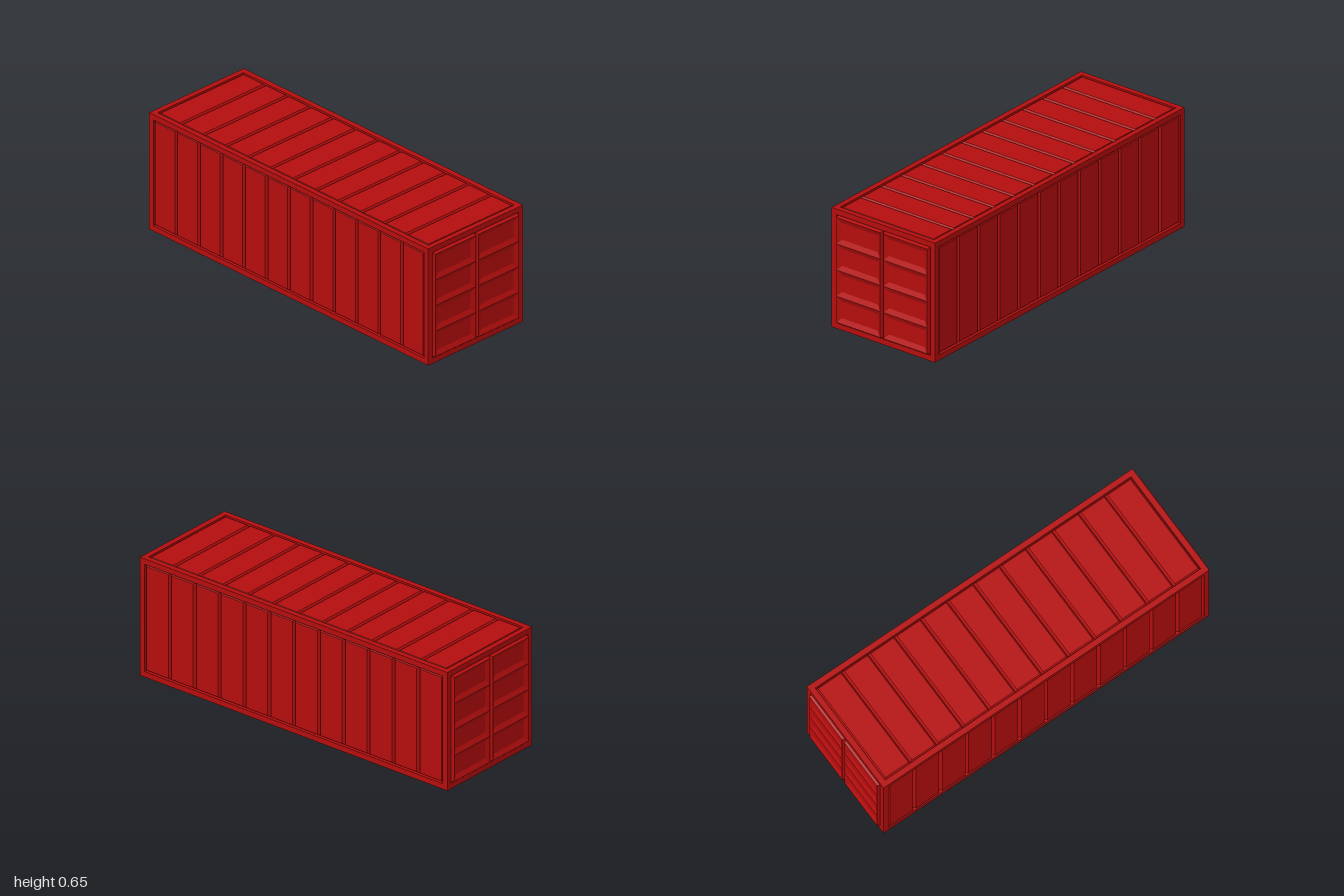
import * as THREE from 'three';

const W = 0.327, H = 0.3275, L = 0.988; // half extents of the frame
const T = 0.03;                         // beam thickness
const BEVEL = 0.01;
const PANELS = 12;

// Flat-faced stack of rectangles [width, height, z], closed by a cap on the last one
function steppedPanel(rings) {
  const pos = [];
  const corners = ([w, h, z]) => [[-w / 2, -h / 2, z], [w / 2, -h / 2, z], [w / 2, h / 2, z], [-w / 2, h / 2, z]];
  const quad = (a, b, c, d) => pos.push(...a, ...b, ...c, ...a, ...c, ...d);
  for (let r = 0; r < rings.length - 1; r++) {
    const lo = corners(rings[r]), hi = corners(rings[r + 1]);
    for (let i = 0; i < 4; i++) quad(lo[i], lo[(i + 1) % 4], hi[(i + 1) % 4], hi[i]);
  }
  quad(...corners(rings[rings.length - 1]));
  const g = new THREE.BufferGeometry();
  g.setAttribute('position', new THREE.Float32BufferAttribute(pos, 3));
  g.computeVertexNormals();
  return g;
}

export function createModel() {
  const model = new THREE.Group();
  model.name = 'shippingContainer';
  const red = new THREE.MeshStandardMaterial({ color: 0xb40d0d });
  red.name = 'container red';

  function add(parent, name, geometry, x = 0, y = 0, z = 0) {
    const mesh = new THREE.Mesh(geometry, red);
    mesh.name = name;
    mesh.position.set(x, y, z);
    parent.add(mesh);
    return mesh;
  }

  const body = new THREE.Group();
  body.name = 'body';
  body.position.y = H;
  model.add(body);

  // Recessed inner box: forms the groove floors and the underside
  add(body, 'innerBox', new THREE.BoxGeometry(2 * W - 0.036, 2 * H - 0.036, 2 * L - 0.036));

  // Frame beams, butted together at the corner posts
  for (const sx of [-1, 1]) {
    for (const sz of [-1, 1]) {
      add(body, 'cornerPost', new THREE.BoxGeometry(T, 2 * H, T), sx * (W - T / 2), 0, sz * (L - T / 2));
    }
    for (const sy of [-1, 1]) {
      add(body, 'sideRail', new THREE.BoxGeometry(T, T, 2 * (L - T)), sx * (W - T / 2), sy * (H - T / 2), 0);
    }
  }
  for (const sy of [-1, 1]) {
    for (const sz of [-1, 1]) {
      add(body, 'endRail', new THREE.BoxGeometry(2 * (W - T), T, T), 0, sy * (H - T / 2), sz * (L - T / 2));
    }
  }

  // Bevelled panels along both sides and the roof
  const pitch = 2 * (L - T) / PANELS;
  const sideH = 2 * (H - T), roofW = 2 * (W - T);
  const sidePanel = steppedPanel([[pitch, sideH, -0.018], [pitch - 2 * BEVEL, sideH - 2 * BEVEL, -0.003]]);
  const roofPanel = steppedPanel([[roofW, pitch, -0.018], [roofW - 2 * BEVEL, pitch - 2 * BEVEL, -0.003]]);
  for (let i = 0; i < PANELS; i++) {
    const z = (i - (PANELS - 1) / 2) * pitch;
    add(body, 'roofPanel', roofPanel, 0, H, z).rotation.x = -Math.PI / 2;
    for (const s of [-1, 1]) {
      add(body, 'sidePanel', sidePanel, s * W, 0, z).rotation.y = s * Math.PI / 2;
    }
  }

  // Double doors at each end: a steep bevelled rim around four sunken cells
  const doorW = W - T, doorH = 2 * (H - T);
  const faceW = doorW - 2 * BEVEL, faceH = doorH - 2 * BEVEL;
  const cellH = faceH / 4;
  const rimGeometry = steppedPanel([[doorW, doorH, -0.03], [faceW, faceH, 0]]);
  // Keep only the four sloping sides so the cells stay open
  rimGeometry.setDrawRange(0, 24);
  const rim = new THREE.BufferGeometry();
  for (const key of ['position', 'normal']) {
    rim.setAttribute(key, new THREE.Float32BufferAttribute(rimGeometry.attributes[key].array.slice(0, 72), 3));
  }
  const cell = steppedPanel([[faceW, cellH, 0], [faceW - 0.052, cellH - 0.052, -0.012]]);
  for (const end of [0, 1]) {
    const doors = new THREE.Group();
    doors.name = end ? 'backDoors' : 'frontDoors';
    doors.rotation.y = end * Math.PI;
    body.add(doors);
    for (const s of [-1, 1]) {
      add(doors, 'doorRim', rim, s * doorW / 2, 0, 1);
      for (let i = 0; i < 4; i++) {
        add(doors, 'doorCell', cell, s * doorW / 2, (i - 1.5) * cellH, 1);
      }
    }
  }
  return model;
}
